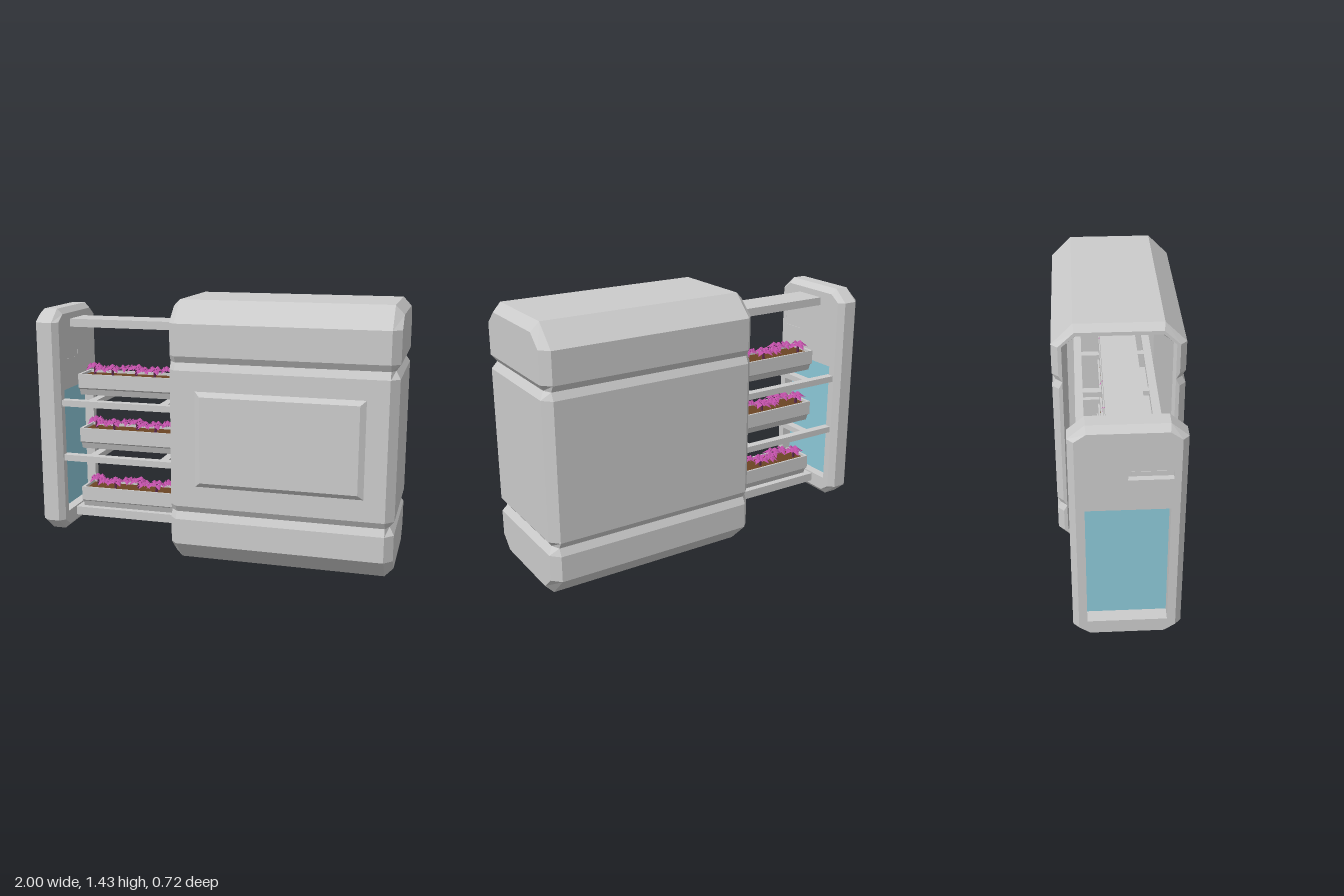
import * as THREE from 'three';
import { mergeGeometries } from 'three/addons/utils/BufferGeometryUtils.js';

const mat = (color, side = THREE.FrontSide) =>
  new THREE.MeshStandardMaterial({ color, side, flatShading: true });
const grey = mat(0xcccccc);
const glass = mat(0x8cc8d8, THREE.DoubleSide);
const soil = mat(0x6b4423);
const leafMat = mat(0xc050a8, THREE.DoubleSide);
const stemMat = mat(0x5c2a4c);

function add(parent, name, geometry, material = grey) {
  const mesh = new THREE.Mesh(geometry, material);
  mesh.name = name;
  parent.add(mesh);
  return mesh;
}

// Box given by its limits on each axis
function box(parent, name, [x0, x1], [y0, y1], [z0, z1], material) {
  const mesh = add(parent, name, new THREE.BoxGeometry(x1 - x0, y1 - y0, z1 - z0), material);
  mesh.position.set((x0 + x1) / 2, (y0 + y1) / 2, (z0 + z1) / 2);
  return mesh;
}

// Skin over closed rings that follow each other along x; optional end caps
function loft(rings, capStart, capEnd) {
  const pos = [];
  const quad = (a, b, c, d) => pos.push(...a, ...b, ...c, ...a, ...c, ...d);
  const n = rings[0].length;
  for (let i = 0; i < rings.length - 1; i++) {
    for (let j = 0; j < n; j++) {
      const k = (j + 1) % n;
      quad(rings[i][j], rings[i + 1][j], rings[i + 1][k], rings[i][k]);
    }
  }
  for (let j = 0; j < n / 2 - 1; j++) {
    const strip = (r) => [r[j], r[n - 1 - j], r[n - 2 - j], r[j + 1]];
    if (capEnd) quad(...strip(rings[rings.length - 1]));
    if (capStart) quad(...strip(rings[0]).reverse());
  }
  const geo = new THREE.BufferGeometry();
  geo.setAttribute('position', new THREE.Float32BufferAttribute(pos, 3));
  geo.computeVertexNormals();
  return geo;
}

// Mirrored ring from a half profile of [halfWidth, y, isGroove], shrunk by d
function ring(half, x, d, grooveX = x, flat = false) {
  const last = half.length - 1;
  const side = half.map(([z, y, groove], i) => {
    const end = i === 0 || i === last;
    const w = (groove && flat ? half[1][0] : z) - (end ? 0.15 * d : d);
    return [groove ? grooveX : x, y + (i === 0 ? d : i === last ? -d : 0), w];
  });
  return [...side, ...side.map(([a, y, z]) => [a, y, -z]).reverse()];
}

// Extrudes a section (drawn as z, y) along x, from x0 to x1
function extrudeX(shape, x0, x1) {
  const geo = new THREE.ExtrudeGeometry(shape, { depth: x1 - x0, bevelEnabled: false });
  return geo.rotateY(Math.PI / 2).translate(x0, 0, 0);
}

const polygon = (pts, Type = THREE.Shape) => new Type(pts.map(([a, b]) => new THREE.Vector2(a, b)));
const rect = (a0, a1, b0, b1) => polygon([[a0, b0], [a0, b1], [a1, b1], [a1, b0]], THREE.Path);

// Hollow casing, open towards -x, with two grooves wrapped around it
function casing() {
  const group = new THREE.Group();
  group.name = 'casing';
  const half = [
    [0.235, 0], [0.35, 0.115], [0.35, 0.255], [0.33, 0.295, true], [0.35, 0.33],
    [0.35, 1.07], [0.33, 1.11, true], [0.35, 1.145], [0.35, 1.315], [0.235, 1.43],
  ];
  const shell = loft([
    ring(half, 0.92, 0.07, 0.92, true),
    ring(half, -0.17, 0.07, -0.17, true),
    ring(half, -0.2, 0.055, -0.2, true),
    ring(half, -0.2, 0.035),
    ring(half, -0.165, 0),
    ring(half, 0.955, 0),
    ring(half, 1, 0.047, 0.975),
  ], true, true);
  add(group, 'casingShell', shell).position.z = -0.01;

  // Raised front panel with sloping edges
  const geo = new THREE.BoxGeometry(0.91, 0.53, 0.025);
  const p = geo.attributes.position;
  for (let i = 0; i < p.count; i++) {
    if (p.getZ(i) > 0) {
      p.setX(i, p.getX(i) - Math.sign(p.getX(i)) * 0.037);
      p.setY(i, p.getY(i) - Math.sign(p.getY(i)) * 0.032);
    }
  }
  geo.computeVertexNormals();
  add(group, 'frontPanel', geo).position.set(0.395, 0.705, 0.3475);
  return group;
}

// Sliding end door with a window and a grip slot
function door() {
  const group = new THREE.Group();
  group.name = 'door';
  const half = [[0.19, 0.08], [0.272, 0.15], [0.272, 1.285], [0.19, 1.355]];
  const inset = ring(half, -1, 0.03);
  add(group, 'doorRim', loft([
    inset, ring(half, -0.97, 0), ring(half, -0.895, 0), ring(half, -0.865, 0.03),
  ]));
  const face = polygon(inset.map(([, y, z]) => [z, y]));
  face.holes.push(rect(-0.2, 0.2, 0.19, 0.9), rect(-0.21, 0, 1.07, 1.12));
  add(group, 'doorFrame', extrudeX(face, -1, -0.865));
  box(group, 'doorWindow', [-0.93, -0.92], [0.18, 0.91], [-0.21, 0.21], glass);
  box(group, 'gripBack', [-0.97, -0.866], [1.06, 1.13], [-0.01, 0.22]);
  box(group, 'gripBar', [-0.985, -0.97], [1.083, 1.107], [0.015, 0.195]);
  group.position.z = -0.012;
  return group;
}

// Rosette of drooping pointed leaves
function rosette(count, length) {
  const leaves = [];
  for (let i = 0; i < count; i++) {
    const l = length * (i % 2 ? 0.75 : 1);
    const lift = i % 2 ? 0.012 : 0;
    const leaf = new THREE.BufferGeometry();
    leaf.setAttribute('position', new THREE.Float32BufferAttribute([
      0, 0, 0, l * 0.5, lift + 0.006, l * 0.3, l * 0.5, lift + 0.014, 0,
      0, 0, 0, l * 0.5, lift + 0.014, 0, l * 0.5, lift + 0.006, -l * 0.3,
      l * 0.5, lift + 0.014, 0, l * 0.5, lift + 0.006, l * 0.3, l, lift - 0.012, 0,
      l * 0.5, lift + 0.014, 0, l, lift - 0.012, 0, l * 0.5, lift + 0.006, -l * 0.3,
    ], 3));
    leaf.computeVertexNormals();
    leaves.push(leaf.rotateY((i / count) * Math.PI * 2));
  }
  return mergeGeometries(leaves);
}

// Planting trough with soil and a row of plants
function planter(y) {
  const group = new THREE.Group();
  group.name = 'planter';
  const side = [[0.055, 0], [0.068, 0.035], [0.085, 0.045], [0.085, 0.125], [0.074, 0.125], [0.074, 0.09]];
  const section = polygon([...side, ...side.map(([z, h]) => [-z, h]).reverse()]);
  add(group, 'trough', extrudeX(section, -0.83, 0.85));
  box(group, 'troughEnd', [-0.83, -0.815], [0.08, 0.125], [-0.075, 0.075]);
  box(group, 'soil', [-0.816, 0.84], [0.07, 0.11], [-0.075, 0.075], soil);
  const leaves = rosette(9, 0.066);
  const stem = new THREE.CylinderGeometry(0.007, 0.009, 0.05, 5);
  for (let i = 0; i < 13; i++) {
    const x = -0.77 + i * 0.127;
    const z = i % 2 ? 0.022 : -0.022;
    add(group, 'stem', stem, stemMat).position.set(x, 0.13, z);
    const top = add(group, 'leaves', leaves, leafMat);
    top.position.set(x, 0.15, z);
    top.rotation.y = i * 1.3;
    // Small filler sprout between neighbours
    const filler = add(group, 'smallLeaves', leaves, leafMat);
    filler.position.set(x + 0.06, 0.146, -z * 1.2);
    filler.rotation.y = i * 2.1;
    filler.scale.set(0.8, 1, 0.8);
  }
  group.position.set(0, y, -0.012);
  return group;
}

// Sliding rack: broad bars at top and bottom, two ladder shelves between
function rack() {
  const group = new THREE.Group();
  group.name = 'rack';
  const span = [-0.87, 0.91];
  box(group, 'topBar', span, [1.245, 1.29], [-0.105, 0.08]);
  box(group, 'bottomBar', span, [0.133, 0.182], [-0.105, 0.08]);
  for (const y of [0.5, 0.815]) {
    box(group, 'shelfRail', span, [y, y + 0.035], [-0.245, -0.2]);
    box(group, 'shelfRail', span, [y, y + 0.035], [0.175, 0.222]);
    for (let i = 0; i < 4; i++) {
      const x = -0.727 + i * 0.42;
      box(group, 'shelfCrossBar', [x, x + 0.047], [y + 0.002, y + 0.033], [-0.205, 0.18]);
    }
  }
  for (const y of [0.18, 0.533, 0.85]) group.add(planter(y));
  return group;
}

export function createModel() {
  const model = new THREE.Group();
  model.name = 'slidingPlanterCabinet';
  model.add(casing(), door(), rack());
  return model;
}
